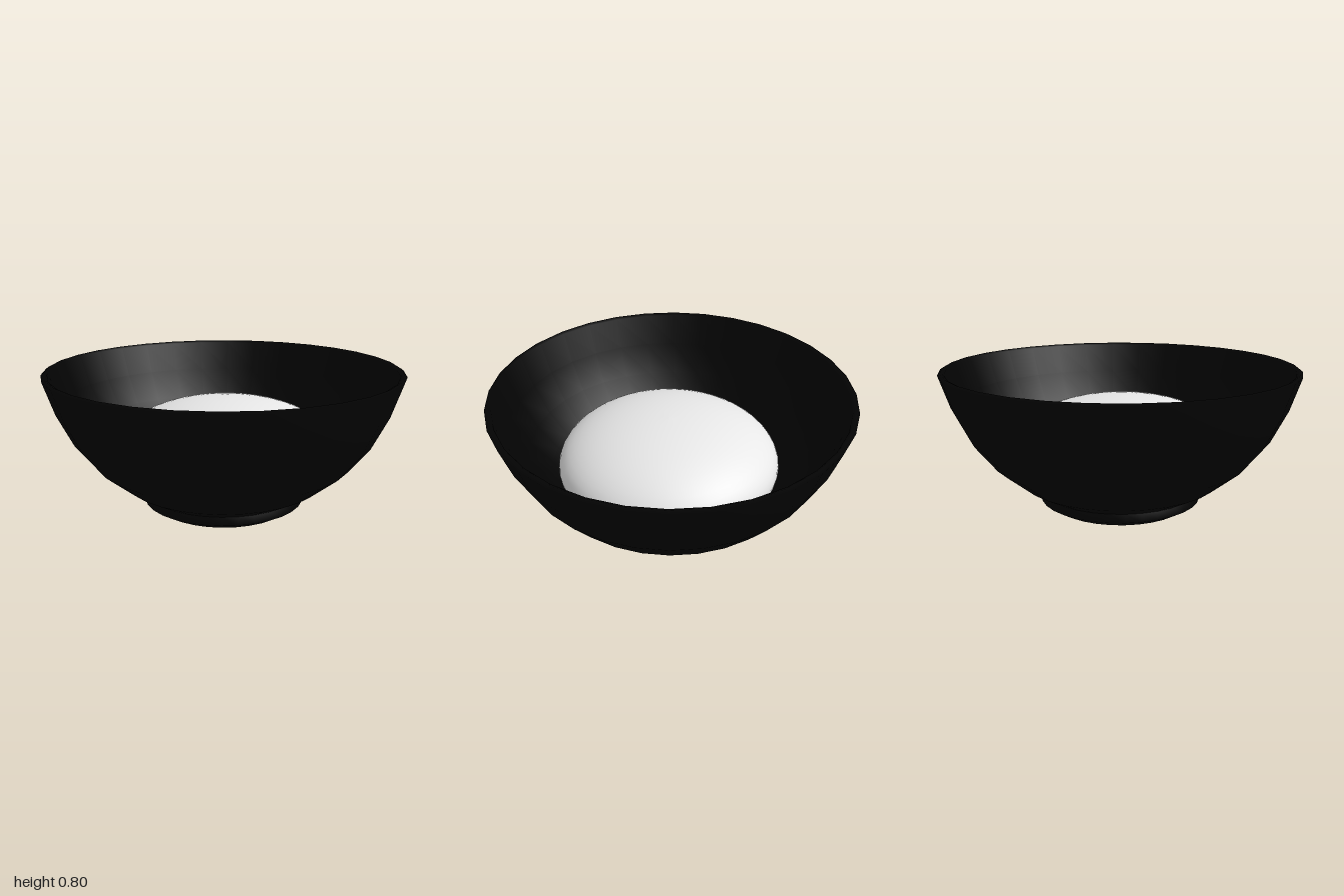
import * as THREE from 'three';

const SEGMENTS = 32;

function lathe(name, points, segments, material) {
  const profile = points.map(([r, y]) => new THREE.Vector2(r, y));
  const mesh = new THREE.Mesh(new THREE.LatheGeometry(profile, segments), material);
  mesh.name = name;
  return mesh;
}

export function createModel() {
  const group = new THREE.Group();
  group.name = 'bowlOfRice';

  const lacquer = new THREE.MeshStandardMaterial({ color: 0x030303 });
  lacquer.name = 'blackLacquer';
  const white = new THREE.MeshStandardMaterial({ color: 0xe8e8e8 });
  white.name = 'riceWhite';

  // Foot ring with a shallow recess underneath
  group.add(lathe('foot', [
    [0, 0.05], [0.33, 0.04], [0.36, 0], [0.39, 0],
    [0.46, 0.04], [0.46, 0.09], [0.44, 0.1],
  ], SEGMENTS, lacquer));

  // Bowl: outer wall up, over the rim, and down the inner wall
  group.add(lathe('bowl', [
    [0.46, 0.09], [0.57, 0.15], [0.73, 0.28], [0.85, 0.43], [0.94, 0.61],
    [1, 0.79], [0.985, 0.8], [0.965, 0.79],
    [0.905, 0.62], [0.815, 0.45], [0.7, 0.31], [0.55, 0.19], [0.4, 0.12], [0, 0.09],
  ], SEGMENTS, lacquer));

  // Rice: rounded mound with a shallower underside resting in the bowl
  const radius = 0.632, middle = 0.34, steps = 28;
  const mound = [];
  for (let i = 0; i <= steps; i++) {
    const a = -Math.PI / 2 + (Math.PI * i) / steps;
    const height = a < 0 ? 0.22 : 0.285;
    mound.push([Math.max(0, radius * Math.cos(a)), middle + height * Math.sin(a)]);
  }
  const rice = lathe('rice', mound, 48, white);
  rice.position.z = 0.018;
  group.add(rice);

  return group;
}
